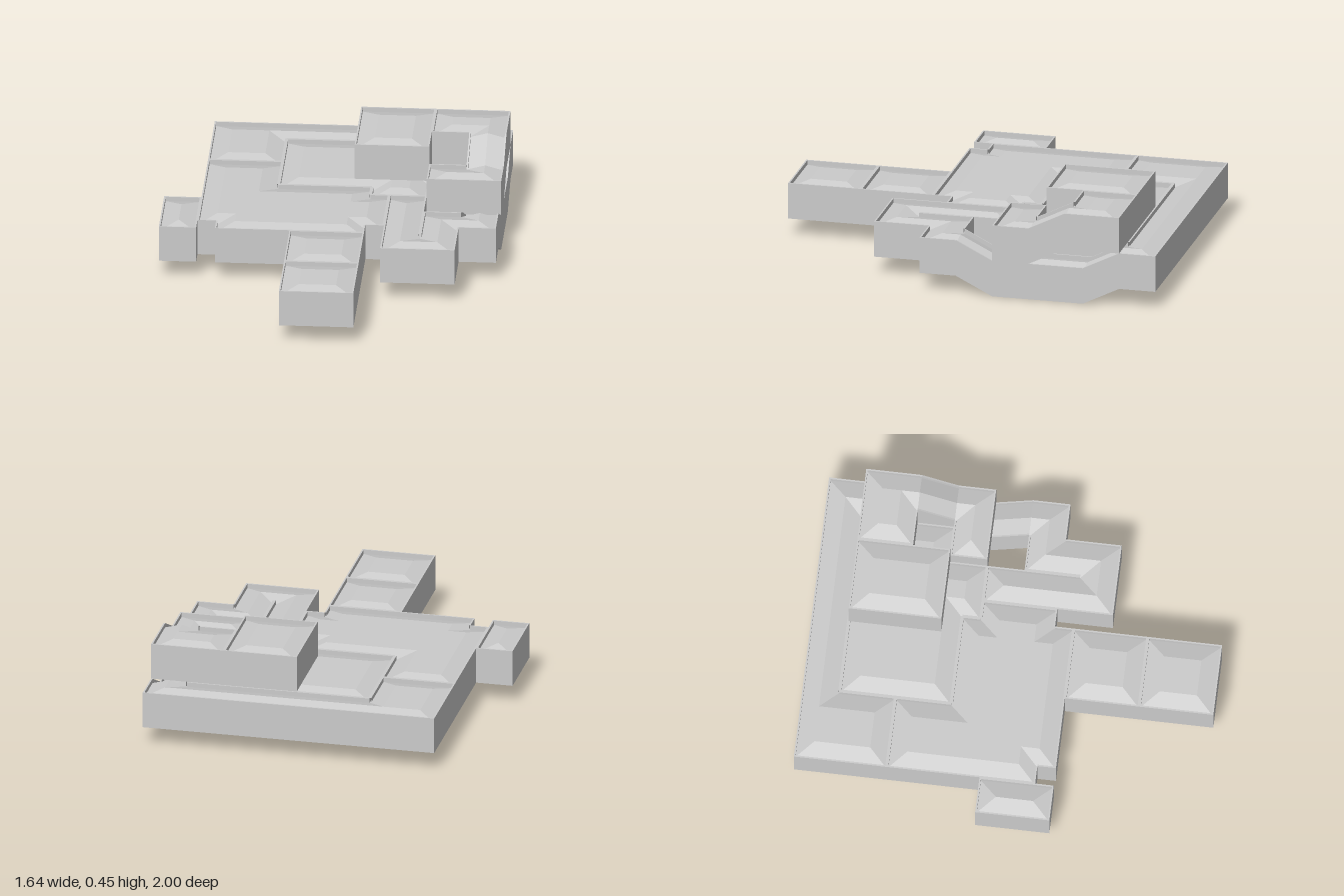
import * as THREE from 'three';

const U = 1 / 11;        // grid unit
const RIM = 0.085;       // rim width, in units
const SINK = 0.27;       // how far the roof drops behind the rim, in units

const material = new THREE.MeshStandardMaterial({ color: 0xcccccc, flatShading: true, side: THREE.DoubleSide });
const flat = (y) => () => y;
const ramp = (v, a, b) => THREE.MathUtils.clamp((v - a) / (b - a), 0, 1);

// A block covering rectangles [x0, x1, z0, z1] on the grid, two units thick,
// with a thin raised rim and a hipped roof inside it. "walls" are extra
// rims [x, z0, z1] that divide the roof.
function block(name, rects, top, walls = []) {
  const cells = new Map();
  for (const [x0, x1, z0, z1] of rects)
    for (let x = x0; x < x1; x++)
      for (let z = z0; z < z1; z++) cells.set(x + ',' + z, [x, z]);
  const has = (x, z) => cells.has(x + ',' + z);
  const walled = (x, z) => walls.some(([wx, a, b]) => x === wx && z >= a && z < b);
  const onWall = (x, z) => walls.some(([wx, a, b]) => x === wx && z >= a && z <= b);
  const inner = (x, z) =>
    has(x, z) && has(x - 1, z) && has(x, z - 1) && has(x - 1, z - 1) && !onWall(x, z);

  const pos = [];
  const tri = (...pts) => pts.forEach((p) => pos.push(p[0] * U, p[1] * U, p[2] * U));
  const quad = (a, b, c, d) => tri(a, b, c, a, c, d);

  for (const [x, z] of cells.values()) {
    // hipped roof cell, split along the slope
    const corners = [[x, z], [x, z + 1], [x + 1, z + 1], [x + 1, z]];
    const high = corners.map(([cx, cz]) => inner(cx, cz));
    const [a, b, c, d] = corners.map(([cx, cz], i) => [cx, top(cx, cz) - (high[i] ? 0 : SINK), cz]);
    if (high[0] !== high[2]) quad(a, b, c, d);
    else quad(b, c, d, a);

    // underside
    const [e, f, g, h] = corners.map(([cx, cz]) => [cx, top(cx, cz) - 2, cz]);
    quad(h, g, f, e);

    // outer wall and rim on every open edge
    const edges = [[0, 1, -1, 0], [1, 2, 0, 1], [2, 3, 1, 0], [3, 0, 0, -1]];
    for (const [i, j, nx, nz] of edges) {
      const open = !has(x + nx, z + nz);
      const divided = nx !== 0 && walled(nx > 0 ? x + 1 : x, z);
      if (!open && !divided) continue;
      const [p, q] = [corners[i], corners[j]];
      const at = ([px, pz], dy, inset) => [px - nx * inset, top(px, pz) + dy, pz - nz * inset];
      if (open) quad(at(p, -2, 0), at(q, -2, 0), at(q, 0, 0), at(p, 0, 0));
      quad(at(p, 0, 0), at(q, 0, 0), at(q, 0, RIM), at(p, 0, RIM));
      quad(at(q, -SINK, RIM), at(p, -SINK, RIM), at(p, 0, RIM), at(q, 0, RIM));
    }
  }
  const geometry = new THREE.BufferGeometry();
  geometry.setAttribute('position', new THREE.Float32BufferAttribute(pos, 3));
  geometry.computeVertexNormals();
  const mesh = new THREE.Mesh(geometry, material);
  mesh.name = name;
  return mesh;
}

export function createModel() {
  const group = new THREE.Group();
  group.name = 'steppedBlocks';

  // the winding passage dips by one unit where it runs under the bridge
  const dip = (x, z) => (x >= 7 ? 3 - Math.min(ramp(z, -9, -7), ramp(z, 0, -2)) : 3);
  // the bridge climbs by one unit towards the back
  const climb = (x, z) => 4 + ramp(z, -4, -6);

  group.add(
    block('windingPassage', [
      [-7, -3, -11, -6], [-3, 9, -11, -9], [7, 9, -9, 0],
      [5, 9, 0, 2], [5, 7, 2, 5], [3, 5, -2, 5],
    ], dip, [[5, 0, 3]]),
    block('middleRoom', [[-3, 7, -9, -4], [-3, 2, -4, -3], [2, 5, -4, -2]], flat(3)),
    block('mainHall', [
      [-7, -3, -6, -3], [-7, 2, -3, 2], [2, 3, -2, 2], [-6, 2, 2, 3],
    ], flat(3)),
    block('sideRoom', [[-9, -7, -1, 3]], flat(3)),
    block('frontRoomInner', [[-2, 2, 3, 7]], flat(3)),
    block('frontRoomOuter', [[-2, 2, 7, 11]], flat(3)),
    block('upperRoom', [[1, 5, -9, -4]], flat(5)),
    block('bridge', [[5, 9, -9, -6], [7, 9, -6, -4], [5, 9, -4, -2]], climb),
  );
  return group;
}
